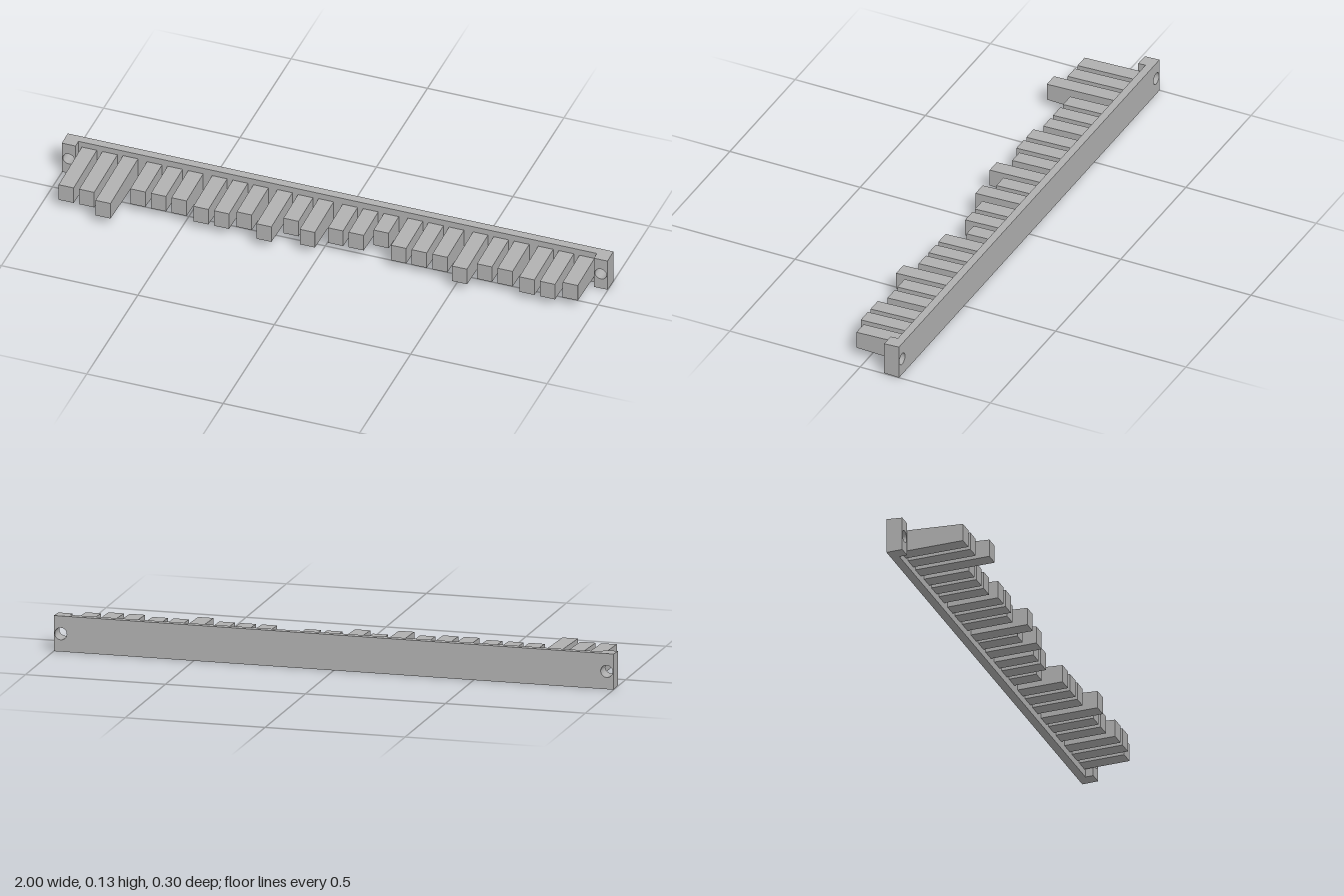
import * as THREE from 'three';

const BACK = -0.149, BAR_FRONT = -0.12, END_FRONT = -0.092;
const MID_Y = 0.063, BAR_HALF = 0.063, DRAFT = 0.035, BAR_DRAFT = 0.05;

// Box along z whose half height narrows from h0 at z0 to h1 at z1
function taperedBox(width, z0, h0, z1, h1) {
  const geo = new THREE.BoxGeometry(width, 2, z1 - z0).toNonIndexed();
  geo.translate(0, 0, (z0 + z1) / 2);
  const p = geo.attributes.position;
  for (let i = 0; i < p.count; i++) {
    p.setY(i, p.getY(i) * (p.getZ(i) > (z0 + z1) / 2 ? h1 : h0));
  }
  geo.computeVertexNormals();
  return geo;
}

// Mounting block with a through hole, drafted like the bar
function endBlockGeometry() {
  const w = 0.025, h = BAR_HALF, depth = END_FRONT - BACK;
  const shape = new THREE.Shape();
  shape.moveTo(-w, -h).lineTo(w, -h).lineTo(w, h).lineTo(-w, h).closePath();
  const hole = new THREE.Path();
  hole.absarc(0, 0, 0.0215, 0, Math.PI * 2, true);
  shape.holes.push(hole);
  const geo = new THREE.ExtrudeGeometry(shape, { depth, bevelEnabled: false, curveSegments: 16 });
  const p = geo.attributes.position;
  for (let i = 0; i < p.count; i++) {
    p.setY(i, p.getY(i) * (1 - BAR_DRAFT * p.getZ(i) / h));
  }
  geo.translate(0, 0, BACK);
  geo.computeVertexNormals();
  return geo;
}

export function createModel() {
  const model = new THREE.Group();
  model.name = 'toothedStrip';
  const grey = new THREE.MeshStandardMaterial({ color: 0xb0b0b0 });
  grey.name = 'grey';

  const add = (name, geo, x, y) => {
    const mesh = new THREE.Mesh(geo, grey);
    mesh.name = name;
    mesh.position.set(x, y, 0);
    model.add(mesh);
  };

  // Long backing bar
  const frontHalf = BAR_HALF - BAR_DRAFT * (BAR_FRONT - BACK);
  add('backBar', taperedBox(1.9, BACK, BAR_HALF, BAR_FRONT, frontHalf), 0, MID_Y);

  // Raised end blocks
  const block = endBlockGeometry();
  add('leftEndBlock', block, 0.975, MID_Y);
  add('rightEndBlock', block, -0.975, MID_Y);

  // Teeth in eight groups of three; each number is a length step
  const steps = [
    [3, 3, 5], [0, 0, 0], [1, 1, 0], [2, -1, 1],
    [-1, -1, -3], [0, 0, 0], [2, 0, 0], [1, 1, 0],
  ];
  const root = BAR_FRONT - 0.005;
  steps.forEach((group, g) => group.forEach((step, i) => {
    const tip = 0.0435 + step * 0.0212;
    const tipHalf = 0.0315;
    const geo = taperedBox(0.055, root, tipHalf + DRAFT * (tip - root), tip, tipHalf);
    add('tooth', geo, (g - 3.5) * 0.239 + (i - 1) * 0.0755 + 0.002, 0.0642);
  }));
  return model;
}
